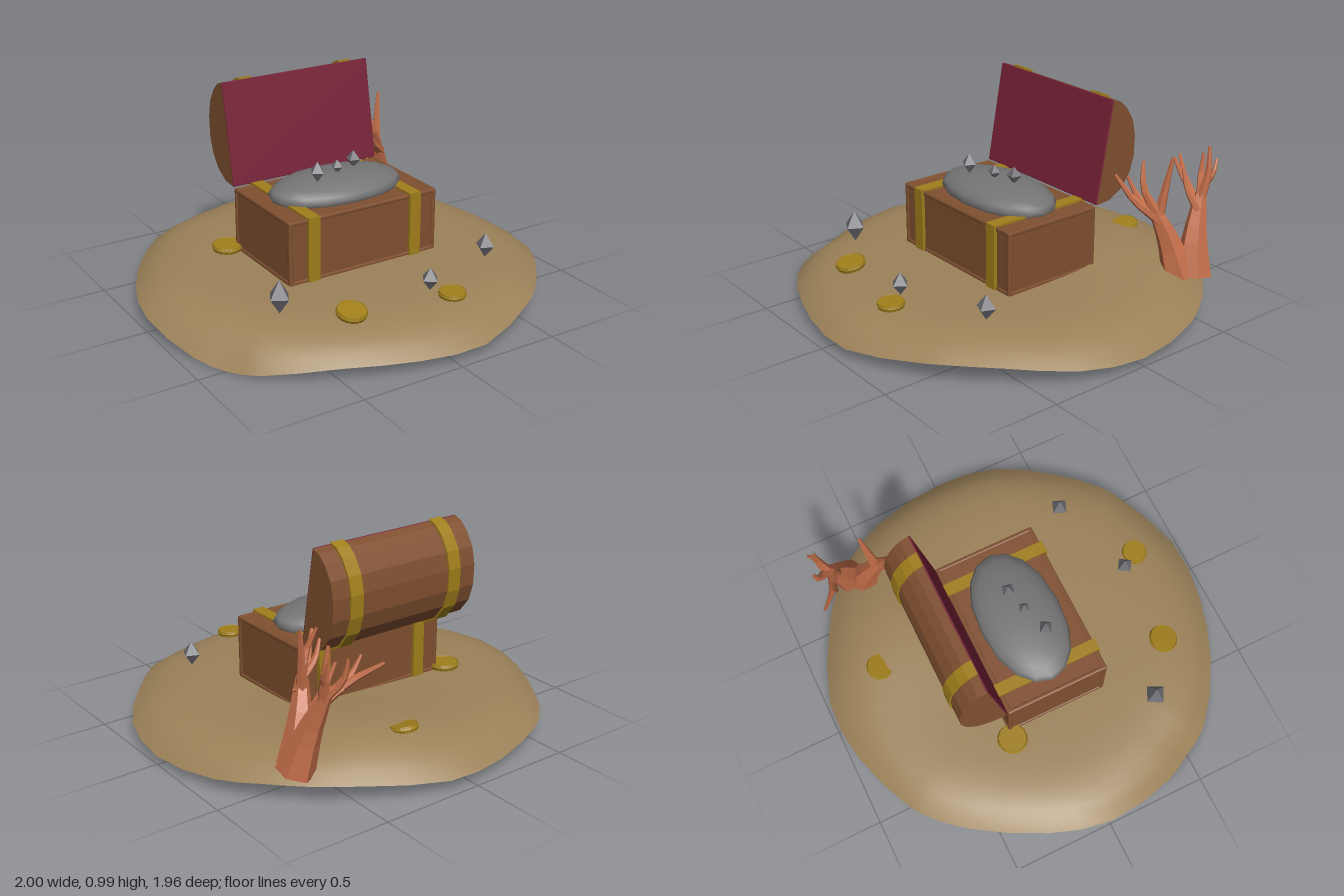
import * as THREE from 'three';
import { RoundedBoxGeometry } from 'three/addons/geometries/RoundedBoxGeometry.js';

const mat = (name, color, extra = {}) => {
  const m = new THREE.MeshStandardMaterial({ color, ...extra });
  m.name = name;
  return m;
};

// Rim of the sand mound, from +x round through +z
const RIM = [
  [1, 0.04, 0], [0.945, 0.065, 0.32], [0.765, 0.09, 0.58], [0.59, 0.095, 0.765], [0.49, 0.085, 0.83],
  [0.15, 0.05, 0.97], [-0.18, 0.055, 0.945], [-0.5, 0.06, 0.83], [-0.78, 0.02, 0.64], [-0.865, 0.0, 0.5],
  [-0.94, 0.015, 0.35], [-1, 0.07, 0], [-0.92, 0.08, -0.3], [-0.73, 0.07, -0.63], [-0.62, 0.07, -0.755],
  [-0.51, 0.07, -0.84], [-0.17, 0.06, -0.965], [0.14, 0.06, -0.98], [0.49, 0.085, -0.83],
  [0.68, 0.09, -0.7], [0.81, 0.085, -0.56], [0.925, 0.06, -0.365],
];

function sandGeometry() {
  const loop = new THREE.CatmullRomCurve3(RIM.map((p) => new THREE.Vector3(...p)), true);
  const n = RIM.length * 2, rings = 14, pos = [0, 0.178, 0], idx = [];
  const rim = Array.from({ length: n }, (_, j) => loop.getPoint(j / n));
  for (let i = 1; i <= rings; i++) {
    const t = (i / rings) ** 0.7;
    for (const p of rim) {
      const x = p.x * t, z = p.z * t;
      const bump = 0.045 * Math.exp(-((x - 0.3) ** 2 + (z + 0.6) ** 2) / 0.14);
      const top = 0.178 + bump - 0.004 * t;
      pos.push(x, p.y + (top - p.y) * (1 - t ** 9), z);
    }
  }
  for (let j = 0; j < n; j++) {
    const k = (j + 1) % n;
    idx.push(0, 1 + k, 1 + j);
    for (let i = 0; i < rings - 1; i++) {
      const a = 1 + i * n + j, b = 1 + i * n + k;
      idx.push(a, b, a + n, b, b + n, a + n);
    }
  }
  const g = new THREE.BufferGeometry();
  g.setAttribute('position', new THREE.Float32BufferAttribute(pos, 3));
  g.setIndex(idx);
  g.computeVertexNormals();
  return g;
}

// Tapered limb with a flat closed base
function limbGeometry(points, r0, r1, sides = 6) {
  const curve = new THREE.CatmullRomCurve3(points.map((p) => new THREE.Vector3(...p)));
  const segs = 6, g = new THREE.TubeGeometry(curve, segs, 1, sides), p = g.attributes.position;
  const v = new THREE.Vector3();
  for (let i = 0; i <= segs; i++) {
    const t = Math.max(0, i - 1) / (segs - 1);
    const r = i === 0 ? 0 : r0 + (r1 - r0) * t;
    const from = curve.getPointAt(i / segs), to = curve.getPointAt(t);
    for (let j = 0; j <= sides; j++) {
      const k = i * (sides + 1) + j;
      v.fromBufferAttribute(p, k).sub(from).multiplyScalar(r).add(to);
      p.setXYZ(k, v.x, v.y, v.z);
    }
  }
  return g;
}

// Cross-section of the open lid: [depth behind the centre, height]
const LID = [
  [0.265, 0.487], [0.34, 0.493], [0.41, 0.53], [0.465, 0.6], [0.49, 0.68], [0.493, 0.78],
  [0.475, 0.86], [0.435, 0.925], [0.395, 0.962], [0.353, 0.977],
];
function lidGeometry(x0, x1, scale = 1) {
  const cx = 0.31, cy = 0.735;
  const pts = LID.map(([a, b]) => new THREE.Vector2(cx + (a - cx) * scale, cy + (b - cy) * scale));
  const g = new THREE.ExtrudeGeometry(new THREE.Shape(pts), { depth: x1 - x0, bevelEnabled: false });
  return g.rotateY(Math.PI / 2).translate(x0, 0, 0);
}

// Heap: a rounded dome with blunt ends
function heapGeometry() {
  const g = new THREE.SphereGeometry(1, 16, 10), p = g.attributes.position;
  for (let i = 0; i < p.count; i++) {
    const x = p.getX(i);
    p.setX(i, Math.sign(x) * Math.abs(x) ** 0.88);
  }
  return g.scale(0.346, 0.082, 0.2);
}

export function createModel() {
  const model = new THREE.Group();
  model.name = 'treasureChestScene';
  const sand = mat('sand', 0x9c8259, { side: THREE.DoubleSide });
  const wood = mat('wood', 0x805030, { flatShading: true });
  const gold = mat('gold', 0xa07f1b, { flatShading: true });
  const lining = mat('lining', 0x782238);
  const pile = mat('pile', 0x757575);
  const crystal = mat('crystal', 0x6c6c72, { flatShading: true });
  const coralMat = mat('coral', 0xc06c48, { flatShading: true });

  const add = (name, geo, material, x = 0, y = 0, z = 0, parent = model) => {
    const m = new THREE.Mesh(geo, material);
    m.name = name;
    m.position.set(x, y, z);
    parent.add(m);
    return m;
  };

  add('sandMound', sandGeometry(), sand);

  // Chest body: panels inside a frame of edge strips
  const chest = new THREE.Group();
  chest.name = 'chest';
  model.add(chest);
  const W = 0.805, D = 0.515, Y0 = 0.17, Y1 = 0.484, S = 0.022, CX = -0.008, CY = (Y0 + Y1) / 2;
  add('chestBody', new THREE.BoxGeometry(W - 0.012, Y1 - Y0 - 0.022, D - 0.012), wood, CX, CY + 0.007, 0, chest);
  const strip = (w, h, d, x, y, z) =>
    add('chestEdge', new RoundedBoxGeometry(w, h, d, 1, 0.007), wood, CX + x, y, z, chest);
  for (const a of [-1, 1]) {
    for (const b of [-1, 1]) {
      const x = a * (W - S) / 2, z = b * (D - S) / 2, y = CY + a * (Y1 - Y0 - S) / 2;
      strip(S, Y1 - Y0, S, x, CY, z);
      strip(W, S, S, 0, y, z);
      strip(S, S, D, b * (W - S) / 2, y, 0);
    }
  }

  // Lid and lining
  add('lid', lidGeometry(-0.41, 0.395), wood, 0, 0, 0, chest);
  const plate = add('lidLining', new RoundedBoxGeometry(W, 0.5, 0.009, 1, 0.004), lining, CX, 0.732, -0.308, chest);
  plate.rotation.x = -Math.atan2(0.088, 0.49);

  // Metal bands round body and lid
  for (const x of [-0.285, 0.27]) {
    add('bodyBand', new THREE.BoxGeometry(0.06, 0.314, 0.535), gold, x, 0.333, 0, chest);
    add('lidBand', lidGeometry(x - 0.034, x + 0.034, 1.045), gold, 0, 0, 0, chest);
  }

  // Heap inside the chest
  add('heap', heapGeometry(), pile, -0.007, 0.496, 0);

  // Crystals: x, y, z, half width, half height, turn
  const octa = new THREE.OctahedronGeometry(1);
  [
    [-0.145, 0.614, 0.065, 0.038, 0.051, 0.3], [-0.01, 0.6, 0.02, 0.03, 0.035, 0.5],
    [0.1, 0.608, -0.01, 0.036, 0.043, 0.6], [-0.575, 0.252, 0.45, 0.056, 0.08, 0.3],
    [0.09, 0.242, 0.635, 0.044, 0.055, 0.2], [0.52, 0.247, 0.485, 0.048, 0.06, 0.4],
  ].forEach(([x, y, z, w, h, turn]) => {
    const c = add('crystal', octa, crystal, x, y, z);
    c.scale.set(w, h, w);
    c.rotation.y = turn;
  });

  // Coins with raised rims, partly sunk: x, y, z, radius, tilt
  [
    [-0.325, 0.192, 0.635, 0.072, 0.2], [0.147, 0.194, 0.725, 0.064, 0.04],
    [-0.455, 0.194, -0.26, 0.074, 0.04], [0.157, 0.203, -0.685, 0.067, 0.22],
  ].forEach(([x, y, z, r, tilt]) => {
    const coin = new THREE.Group();
    coin.name = 'coin';
    coin.position.set(x, y, z);
    coin.rotation.x = tilt;
    model.add(coin);
    add('coinDisc', new THREE.CylinderGeometry(r * 0.95, r * 0.95, 0.022, 18), gold, 0, 0, 0, coin);
    const rim = new THREE.TorusGeometry(r * 0.92, r * 0.08, 4, 18).rotateX(Math.PI / 2).scale(1, 2.6, 1);
    add('coinRim', rim, gold, 0, 0, 0, coin);
  });

  // Branching coral: path, base radius, tip radius
  const coral = new THREE.Group();
  coral.name = 'coral';
  model.add(coral);
  [
    [[[0.65, 0.13, -0.57], [0.6, 0.31, -0.535], [0.55, 0.47, -0.48]], 0.085, 0.028],
    [[[0.69, 0.13, -0.62], [0.65, 0.31, -0.66], [0.61, 0.5, -0.73]], 0.088, 0.028],
    [[[0.585, 0.41, -0.5], [0.48, 0.5, -0.42], [0.41, 0.62, -0.36]], 0.03, 0.007],
    [[[0.53, 0.46, -0.46], [0.46, 0.52, -0.45], [0.42, 0.6, -0.43]], 0.021, 0.007],
    [[[0.56, 0.45, -0.485], [0.51, 0.56, -0.45], [0.47, 0.68, -0.48]], 0.026, 0.007],
    [[[0.565, 0.43, -0.5], [0.58, 0.57, -0.52], [0.6, 0.72, -0.54]], 0.028, 0.008],
    [[[0.615, 0.47, -0.72], [0.63, 0.6, -0.75], [0.62, 0.73, -0.76]], 0.028, 0.008],
    [[[0.62, 0.48, -0.72], [0.56, 0.57, -0.78], [0.55, 0.67, -0.8]], 0.025, 0.007],
    [[[0.63, 0.44, -0.7], [0.5, 0.53, -0.74], [0.38, 0.61, -0.82]], 0.028, 0.007],
    [[[0.54, 0.5, -0.73], [0.47, 0.57, -0.73], [0.43, 0.63, -0.73]], 0.019, 0.006],
    [[[0.64, 0.43, -0.69], [0.57, 0.52, -0.68], [0.53, 0.61, -0.69]], 0.024, 0.007],
    [[[0.62, 0.54, -0.74], [0.65, 0.6, -0.76], [0.645, 0.67, -0.79]], 0.017, 0.006],
  ].forEach(([path, r0, r1], i) =>
    add(i < 2 ? 'coralStem' : 'coralBranch', limbGeometry(path, r0, r1), coralMat, 0, 0, 0, coral));

  return model;
}
